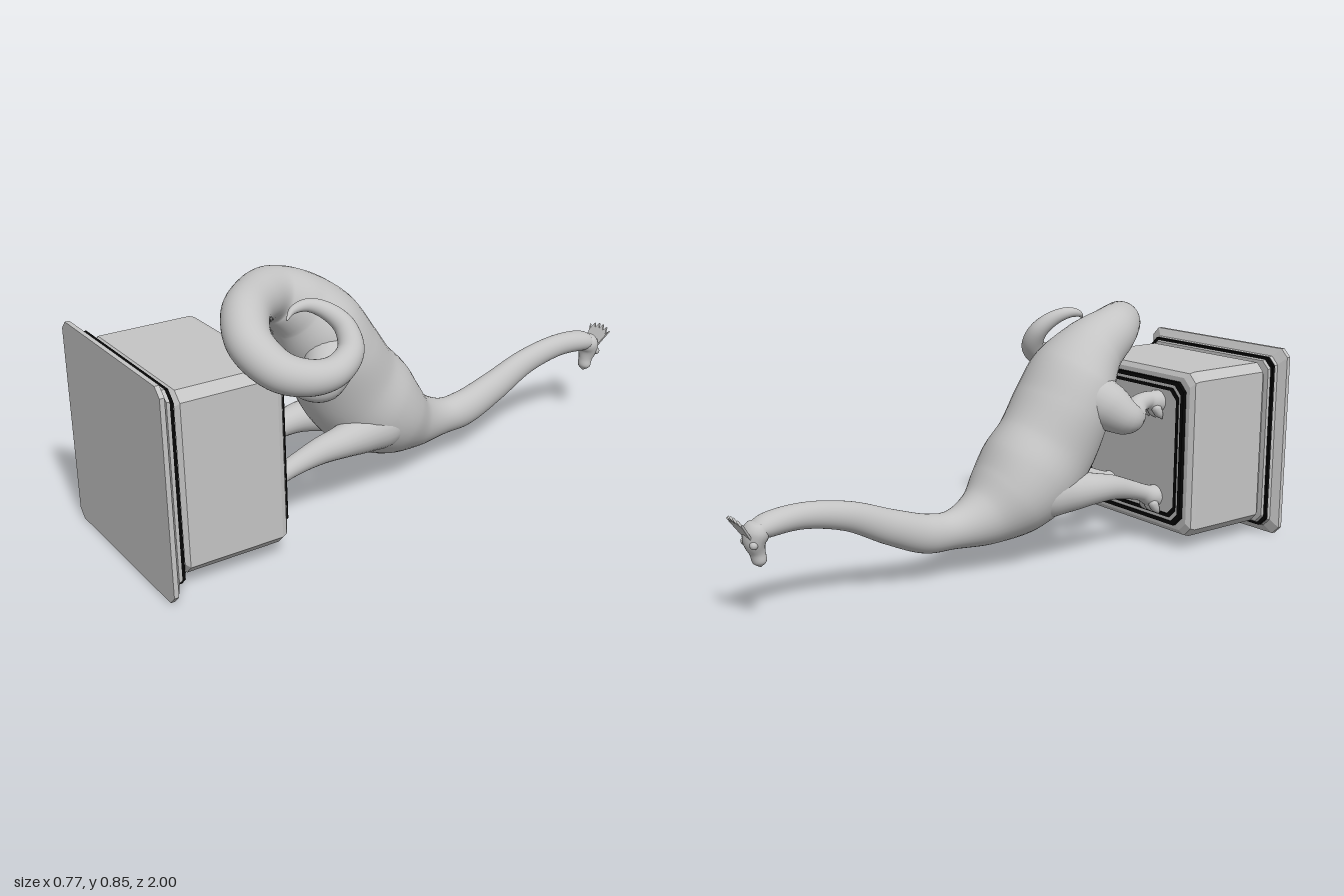
import * as THREE from 'three';

const stone = new THREE.MeshStandardMaterial({ color: 0xc4c4c4, side: THREE.DoubleSide });
stone.name = 'grey stone';
const black = new THREE.MeshStandardMaterial({ color: 0x050505, side: THREE.DoubleSide });
black.name = 'black inlay';
const CX = -0.045; // centre line of plinth and animal
const CY = 0.343; // centre height of plinth

function add(parent, name, geometry, material = stone) {
  const mesh = new THREE.Mesh(geometry, material);
  mesh.name = name;
  parent.add(mesh);
  return mesh;
}

// Smooth skin over stations [x, y, z, thickness radius, side radius]
function skin(stations, steps, sides = 28) {
  const path = new THREE.CatmullRomCurve3(stations.map((s) => new THREE.Vector3(s[0], s[1], s[2])));
  const size = new THREE.CatmullRomCurve3(
    stations.map((s) => new THREE.Vector3(s[3], s[4] ?? s[3], 0)), false, 'catmullrom', 0.5);
  const pos = [], index = [];
  const n = new THREE.Vector3(1, 0, 0);
  for (let i = 0; i <= steps; i++) {
    const p = path.getPoint(i / steps), t = path.getTangent(i / steps), r = size.getPoint(i / steps);
    n.addScaledVector(t, -n.dot(t)).normalize();
    const b = new THREE.Vector3().crossVectors(t, n);
    for (let j = 0; j < sides; j++) {
      const q = (j / sides) * Math.PI * 2;
      const v = p.clone()
        .addScaledVector(n, Math.cos(q) * Math.max(r.y, 0.001))
        .addScaledVector(b, Math.sin(q) * Math.max(r.x, 0.001));
      pos.push(v.x, v.y, v.z);
      if (i < steps) {
        const a = i * sides + j, c = i * sides + ((j + 1) % sides);
        index.push(a, c, a + sides, c, c + sides, a + sides);
      }
    }
  }
  const g = new THREE.BufferGeometry();
  g.setAttribute('position', new THREE.Float32BufferAttribute(pos, 3));
  g.setIndex(index);
  g.computeVertexNormals();
  return g;
}

// Square block with cut corners, from a profile of [half width, z], z falling
function block(profile, cut) {
  const pos = [], index = [];
  profile.forEach(([h, z], i) => {
    const k = Math.max(h - cut, 0);
    [[h, -k], [h, k], [k, h], [-k, h], [-h, k], [-h, -k], [-k, -h], [k, -h]].forEach(([x, y], j) => {
      pos.push(CX + x, CY + y, z);
      if (i < profile.length - 1) {
        const a = i * 8 + j, b = i * 8 + ((j + 1) % 8);
        index.push(a, a + 8, b, b, a + 8, b + 8);
      }
    });
  });
  const g = new THREE.BufferGeometry();
  g.setAttribute('position', new THREE.Float32BufferAttribute(pos, 3));
  g.setIndex(index);
  const flat = g.toNonIndexed();
  flat.computeVertexNormals();
  return flat;
}

function buildPlinth() {
  const plinth = new THREE.Group();
  plinth.name = 'plinth';
  add(plinth, 'plinthFoot', block([[0, 1], [0.342, 1], [0.342, 0.985], [0.327, 0.976], [0.314, 0.968],
    [0.312, 0.957], [0, 0.957]], 0.028));
  add(plinth, 'footInlay', block([[0.311, 0.957], [0.311, 0.946], [0.29, 0.946]], 0.028), black);
  add(plinth, 'footStep', block([[0.302, 0.946], [0.298, 0.938], [0.28, 0.936], [0, 0.936]], 0.028));
  add(plinth, 'plinthBody', block([[0, 0.94], [0.278, 0.94], [0.282, 0.93], [0.293, 0.918], [0.293, 0.605],
    [0.288, 0.589], [0.272, 0.578], [0.25, 0.577], [0.245, 0.567], [0.231, 0.567], [0.219, 0.573],
    [0, 0.573]], 0.03));
  // two black frames around the panel under the feet
  add(plinth, 'outerInlay', block([[0.256, 0.578], [0.256, 0.563], [0.243, 0.563], [0.243, 0.57]], 0.03), black);
  add(plinth, 'innerInlay', block([[0.232, 0.57], [0.232, 0.564], [0.221, 0.564], [0.221, 0.574]], 0.03), black);
  const plaque = add(plinth, 'plaque', new THREE.BoxGeometry(0.32, 0.014, 0.17));
  plaque.position.set(CX, 0.045, 0.795);
  return plinth;
}

function buildLeg(name, stations, side) {
  const leg = new THREE.Group();
  leg.name = name;
  const placed = stations.map(([x, ...rest]) => [CX + side * x, ...rest]);
  add(leg, name + 'Limb', skin(placed, 48, 24));
  // three clawed toes spreading toward the animal's front
  const [fx, fy] = placed[placed.length - 1];
  for (const k of [-1, 0, 1]) {
    const x = fx + k * 0.024;
    add(leg, name + 'Toe', skin([[x, fy, 0.54, 0.008], [x, fy - 0.015, 0.543, 0.018],
      [x + k * 0.006, fy - 0.038, 0.553, 0.014], [x + k * 0.009, fy - 0.056, 0.564, 0.002]], 10, 10));
  }
  return leg;
}

function buildHead() {
  const head = new THREE.Group();
  head.name = 'head';
  add(head, 'skull', skin([[CX, 0.325, -0.915, 0.003], [CX, 0.315, -0.916, 0.026, 0.034],
    [CX, 0.29, -0.922, 0.039, 0.046], [CX, 0.26, -0.928, 0.034, 0.04], [CX, 0.225, -0.92, 0.024, 0.027],
    [CX, 0.195, -0.914, 0.021, 0.024], [CX, 0.178, -0.911, 0.002]], 36, 20));
  for (const s of [-1, 1]) {
    const brow = add(head, 'brow', new THREE.SphereGeometry(0.013, 12, 8));
    brow.position.set(CX + s * 0.03, 0.258, -0.945);
  }
  // toothed frill fanning out from the back of the head
  const fan = new THREE.Shape();
  fan.moveTo(-0.028, 0);
  fan.lineTo(0.028, 0);
  for (let i = 0; i <= 10; i++) {
    const k = 1 - i / 5;
    fan.lineTo(k * 0.051, (i % 2 ? 0.062 : 0.084) - 0.016 * k * k);
  }
  const frill = add(head, 'frill', new THREE.ExtrudeGeometry(fan, { depth: 0.007, bevelEnabled: false }));
  frill.position.set(CX, 0.275, -0.954);
  frill.rotation.x = -0.59;
  return head;
}

export function createModel() {
  const model = new THREE.Group();
  model.name = 'statue';
  model.add(buildPlinth());

  const animal = new THREE.Group();
  animal.name = 'longNeckedAnimal';
  model.add(animal);

  // one continuous skin: neck, barrel body and curled tail
  add(animal, 'neckBodyTail', skin([
    [CX, 0.285, -0.945, 0.02, 0.036], [CX, 0.302, -0.89, 0.037, 0.043], [CX, 0.31, -0.77, 0.041, 0.038],
    [CX, 0.28, -0.61, 0.047, 0.04], [CX, 0.213, -0.45, 0.058, 0.049], [CX, 0.168, -0.32, 0.065, 0.056],
    [CX, 0.163, -0.22, 0.066, 0.063], [CX, 0.185, -0.1, 0.1, 0.105], [CX, 0.232, -0.005, 0.144, 0.155],
    [CX, 0.3, 0.083, 0.176, 0.174], [CX, 0.388, 0.165, 0.177, 0.17], [CX, 0.515, 0.235, 0.162, 0.18],
    [CX, 0.62, 0.29, 0.145, 0.168], [CX - 0.005, 0.7, 0.36, 0.115, 0.124],
    [-0.045, 0.752, 0.45, 0.092], [0.015, 0.767, 0.54, 0.079], [0.1, 0.757, 0.62, 0.074],
    [0.2, 0.707, 0.66, 0.069], [0.285, 0.645, 0.62, 0.062], [0.325, 0.618, 0.54, 0.055],
    [0.333, 0.623, 0.455, 0.048], [0.312, 0.665, 0.39, 0.041], [0.272, 0.725, 0.382, 0.034],
    [0.235, 0.772, 0.42, 0.027], [0.208, 0.793, 0.47, 0.02], [0.205, 0.786, 0.52, 0.012],
    [0.22, 0.765, 0.55, 0.002]], 240, 36));

  animal.add(buildHead());

  // legs, mirrored across the centre line
  const hind = [[0.04, 0.58, 0.22, 0.03], [0.075, 0.57, 0.265, 0.09], [0.135, 0.53, 0.325, 0.084],
    [0.172, 0.494, 0.375, 0.062], [0.162, 0.49, 0.415, 0.048], [0.135, 0.517, 0.465, 0.035],
    [0.122, 0.525, 0.52, 0.031], [0.122, 0.518, 0.55, 0.038], [0.122, 0.515, 0.573, 0.04]];
  const front = [[0.04, 0.26, 0.0, 0.03], [0.078, 0.255, 0.08, 0.085], [0.105, 0.25, 0.18, 0.072],
    [0.125, 0.247, 0.28, 0.054], [0.125, 0.238, 0.36, 0.044], [0.122, 0.217, 0.44, 0.035],
    [0.12, 0.193, 0.51, 0.031], [0.12, 0.175, 0.55, 0.038], [0.12, 0.17, 0.573, 0.04]];
  for (const [label, side] of [['left', 1], ['right', -1]]) {
    animal.add(buildLeg(label + 'HindLeg', hind, side));
    animal.add(buildLeg(label + 'FrontLeg', front, side));
  }
  return model;
}
